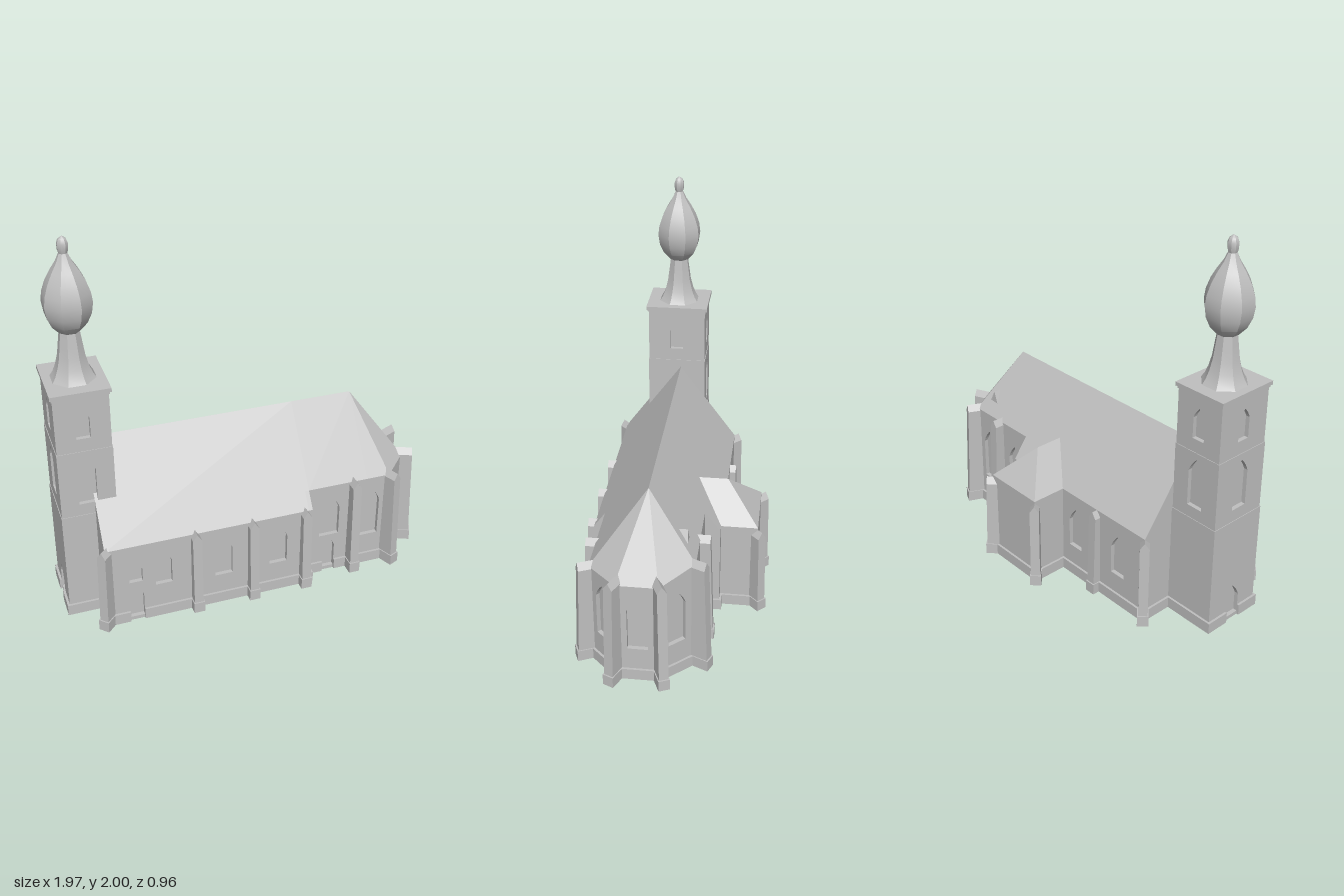
import * as THREE from 'three';
import { toCreasedNormals } from 'three/addons/utils/BufferGeometryUtils.js';

const stone = new THREE.MeshStandardMaterial({ color: 0xc0c0c0, side: THREE.DoubleSide });
stone.name = 'pale stone';

const RIDGE_Y = 0.925, RIDGE_Z = 0.08;
const roofY = (z) => RIDGE_Y - 1.36 * Math.abs(z - RIDGE_Z);

function mesh(parent, name, geometry) {
  const m = new THREE.Mesh(geometry, stone);
  m.name = name;
  parent.add(m);
  return m;
}

// Pointed-arch outline: centre u, sill y0, tip y1, width w
function arch(Type, u, y0, y1, w) {
  const s = new Type(), h = w / 2, spring = y1 - w * 0.8;
  s.moveTo(u - h, y0);
  s.lineTo(u + h, y0);
  s.lineTo(u + h, spring);
  s.quadraticCurveTo(u + h * 0.75, spring + w * 0.4, u, y1);
  s.quadraticCurveTo(u - h * 0.75, spring + w * 0.4, u - h, spring);
  s.closePath();
  return s;
}

// Wall from a to b (plan [x, z]), outside on the right hand; openings [u, y0, y1, w]
function wall(parent, name, a, b, y0, ha, hb, openings = [], plinth = false) {
  const dx = b[0] - a[0], dz = b[1] - a[1], len = Math.hypot(dx, dz), t = 0.022;
  const g = new THREE.Group();
  g.name = name;
  g.position.set(a[0], 0, a[1]);
  g.rotation.y = Math.atan2(-dz, dx);
  parent.add(g);
  const s = new THREE.Shape();
  s.moveTo(0, y0);
  s.lineTo(len, y0);
  s.lineTo(len, hb);
  s.lineTo(0, ha);
  s.closePath();
  for (const o of openings) s.holes.push(arch(THREE.Path, ...o));
  const panel = new THREE.ExtrudeGeometry(s, { depth: t, bevelEnabled: false, curveSegments: 4 });
  mesh(g, 'wallPanel', panel).position.z = -t;
  for (const o of openings) {
    mesh(g, 'recessedPane', new THREE.ShapeGeometry(arch(THREE.Shape, ...o), 4)).position.z = -t;
  }
  if (!plinth) return;
  // Plinth strips, interrupted at doors
  const cuts = openings.filter((o) => o[1] < 0.06).flatMap((o) => [o[0] - o[3] / 2, o[0] + o[3] / 2]);
  const ends = [-0.012, ...cuts, len + 0.012];
  for (let i = 0; i < ends.length; i += 2) {
    const w = ends[i + 1] - ends[i];
    mesh(g, 'plinth', new THREE.BoxGeometry(w, 0.06, 0.027)).position.set(ends[i] + w / 2, 0.03, -0.0015);
  }
}

// Battered buttress with a gabled head, rooted at x, z and pointing along dx, dz
function buttress(parent, x, z, dx, dz, h, d = 0.065, w = 0.048) {
  const s = new THREE.Shape([[-w / 2, 0], [w / 2, 0], [w / 2, h - 0.035], [0, h], [-w / 2, h - 0.035]]
    .map((p) => new THREE.Vector2(...p)));
  const geo = new THREE.ExtrudeGeometry(s, { depth: 1, bevelEnabled: false });
  const p = geo.attributes.position;
  for (let i = 0; i < p.count; i++) {
    p.setZ(i, p.getZ(i) > 0.5 ? d * (1 - 0.28 * p.getY(i) / h) : -0.04);
  }
  geo.computeVertexNormals();
  const m = mesh(parent, 'buttress', geo);
  m.position.set(x, 0, z);
  m.rotation.y = Math.atan2(dx, dz);
  mesh(m, 'buttressFoot', new THREE.BoxGeometry(w + 0.01, 0.06, d + 0.03)).position.set(0, 0.03, d / 2 - 0.01);
}

// Flat faces, each a convex loop of points
function faces(loops) {
  const pos = [];
  for (const l of loops) {
    for (let i = 1; i < l.length - 1; i++) pos.push(...l[0], ...l[i], ...l[i + 1]);
  }
  const g = new THREE.BufferGeometry();
  g.setAttribute('position', new THREE.Float32BufferAttribute(pos, 3));
  g.computeVertexNormals();
  return g;
}

function buildNave(root) {
  const nave = new THREE.Group();
  nave.name = 'nave';
  root.add(nave);
  const E = 0.49;
  // Plan corners [x, z, eaves height], running round the outside
  const plan = [
    [-0.8, 0.265, roofY(0.265)], [-0.8, 0.42, roofY(0.42)], [0.3, 0.42, roofY(0.42)], [0.3, 0.36, roofY(0.36)],
    [0.76, 0.36, roofY(0.36)], [0.905, 0.21, 0.55], [0.905, 0, 0.55], [0.76, -0.16, roofY(-0.16)],
    [0.32, -0.16, roofY(-0.16)], [0.32, -0.24, E], [0.27, -0.24, E], [0.27, -0.43, E],
    [-0.08, -0.43, E], [-0.08, -0.24, E], [-0.69, -0.24, E], [-0.69, -0.055, roofY(-0.055)],
  ];
  const apse = [[0.105, 0.18, 0.485, 0.1]];
  const openings = {
    1: [[0.15, 0.24, 0.37, 0.07], [0.15, 0.02, 0.21, 0.075], [0.295, 0.195, 0.405, 0.088],
      [0.615, 0.17, 0.405, 0.095], [0.915, 0.17, 0.405, 0.095]],
    3: [[0.125, 0.23, 0.485, 0.11], [0.125, 0.02, 0.21, 0.07], [0.355, 0.18, 0.485, 0.11]],
    4: apse, 5: apse, 6: apse,
    7: [[0.105, 0.18, 0.485, 0.1], [0.335, 0.18, 0.485, 0.1]],
    13: [[0.1, 0.17, 0.405, 0.095], [0.42, 0.17, 0.405, 0.095]],
  };
  for (let i = 0; i < plan.length - 1; i++) {
    const a = plan[i], b = plan[i + 1];
    wall(nave, 'wall', a, b, 0, a[2], b[2], openings[i], true);
  }

  // Main roof, hipped over the apse
  const P = (x, z) => [x, roofY(z), z];
  const apex = P(0.63, RIDGE_Z);
  const corner = (i) => [plan[i][0], plan[i][2], plan[i][1]];
  const loops = [
    [P(-0.8, 0.42), P(0.3, 0.42), P(0.3, RIDGE_Z), P(-0.8, RIDGE_Z)],
    [P(0.3, 0.36), P(0.63, 0.36), apex, P(0.3, RIDGE_Z)],
    [P(0.32, -0.24), P(-0.69, -0.24), P(-0.69, RIDGE_Z), P(0.32, RIDGE_Z)],
    [P(0.63, -0.16), P(0.32, -0.16), P(0.32, RIDGE_Z), apex],
    [P(0.63, 0.36), corner(4), apex], [corner(7), P(0.63, -0.16), apex],
  ];
  for (let i = 4; i < 7; i++) loops.push([corner(i), corner(i + 1), apex]);
  mesh(nave, 'mainRoof', faces(loops));

  // Hipped roof of the rear annex
  const r1 = [0.095, 0.67, -0.107], r2 = [0.095, 0.67, -0.26];
  mesh(nave, 'annexRoof', faces([
    [[-0.08, E, -0.24], r1, r2, [-0.08, E, -0.43]],
    [[0.27, E, -0.43], r2, r1, [0.27, E, -0.24]],
    [[0.27, E, -0.43], [-0.08, E, -0.43], r2],
  ]));

  // Small dormer on the rear chancel slope
  const d1 = [0.625, 0.65, -0.115], d2 = [0.695, 0.65, -0.115], top = [0.66, 0.725, -0.11];
  const back = [0.66, 0.725, -0.06], l = [0.625, 0.65, -0.07], r = [0.695, 0.65, -0.07];
  const f1 = [0.625, 0.6, -0.115], f2 = [0.695, 0.6, -0.115];
  mesh(nave, 'dormer', faces([[f2, f1, d1, top, d2], [d1, l, back, top], [d2, top, back, r],
    [f1, l, d1], [f2, d2, r]]));

  // Underside
  const floor = new THREE.ShapeGeometry(new THREE.Shape(plan.map((p) => new THREE.Vector2(p[0], p[1]))));
  mesh(nave, 'floor', floor).rotation.x = Math.PI / 2;

  // Buttresses: along the walls, on the corners, round the apse
  for (const x of [-0.335, -0.03, 0.26]) buttress(nave, x, 0.42, 0, 1, 0.48, 0.05);
  buttress(nave, 0.555, 0.36, 0, 1, 0.565, 0.07);
  buttress(nave, -0.345, -0.24, 0, -1, 0.49, 0.045);
  buttress(nave, 0.545, -0.16, 0, -1, 0.62, 0.07);
  buttress(nave, -0.8, 0.42, -1, 1, 0.48, 0.045);
  buttress(nave, -0.69, -0.24, -1, -1, 0.49, 0.045);
  buttress(nave, -0.08, -0.43, -1, -1, 0.48, 0.045);
  buttress(nave, 0.27, -0.43, 1, -1, 0.48, 0.045);
  buttress(nave, 0.76, 0.36, 0.4, 0.9, 0.575, 0.075);
  buttress(nave, 0.905, 0.21, 0.9, 0.4, 0.595, 0.075);
  buttress(nave, 0.905, 0, 0.9, -0.4, 0.595, 0.075);
  buttress(nave, 0.76, -0.16, 0.4, -0.9, 0.625, 0.08);
}

function buildTower(root) {
  const tower = new THREE.Group();
  tower.name = 'tower';
  tower.position.set(-0.83, 0, 0.105);
  root.add(tower);
  // Stages: bottom, top, half width, half depth, window [sill, tip, width]
  const stages = [
    [0, 0.6, 0.141, 0.165, null],
    [0.6, 0.965, 0.138, 0.162, [0.665, 0.93, 0.092]],
    [0.965, 1.275, 0.135, 0.159, [1.035, 1.2, 0.07]],
  ];
  stages.forEach(([y0, y1, hx, hz, win], k) => {
    const c = [[-hx, hz], [hx, hz], [hx, -hz], [-hx, -hz]];
    for (let i = 0; i < 4; i++) {
      const mid = i % 2 ? hz : hx;
      let open = win ? [[mid, ...win]] : [];
      if (k === 1 && i === 1) open = [];
      if (k === 0 && i === 3) open = [[mid, 0.02, 0.2, 0.09]];
      wall(tower, 'towerWall', c[i], c[(i + 1) % 4], y0, y1, y1, open, k === 0 && i !== 1);
    }
  });
  mesh(tower, 'towerFloor', new THREE.BoxGeometry(0.27, 0.01, 0.32)).position.y = 0.005;
  mesh(tower, 'corniceMoulding', new THREE.BoxGeometry(0.28, 0.015, 0.328)).position.y = 1.265;
  mesh(tower, 'cornice', new THREE.BoxGeometry(0.294, 0.02, 0.342)).position.y = 1.28;

  // Octagonal flared neck, onion bulb and finial
  const lathe = (name, pts) => {
    const profile = pts.map(([r, y]) => new THREE.Vector2(r / Math.cos(Math.PI / 8), y));
    mesh(tower, name, toCreasedNormals(new THREE.LatheGeometry(profile, 8, Math.PI / 8), 0.65));
  };
  lathe('spireNeck', [[0.105, 1.29], [0.09, 1.315], [0.075, 1.355], [0.062, 1.41], [0.053, 1.48], [0.046, 1.535]]);
  lathe('onionBulb', [[0, 1.533], [0.05, 1.535], [0.083, 1.575], [0.104, 1.625], [0.112, 1.68], [0.106, 1.73],
    [0.088, 1.785], [0.063, 1.835], [0.036, 1.88], [0.019, 1.92]]);
  lathe('finial', [[0.017, 1.91], [0.024, 1.935], [0.025, 1.965], [0.018, 1.985], [0, 2]]);
}

export function createModel() {
  const root = new THREE.Group();
  root.name = 'church';
  buildNave(root);
  buildTower(root);
  return root;
}
